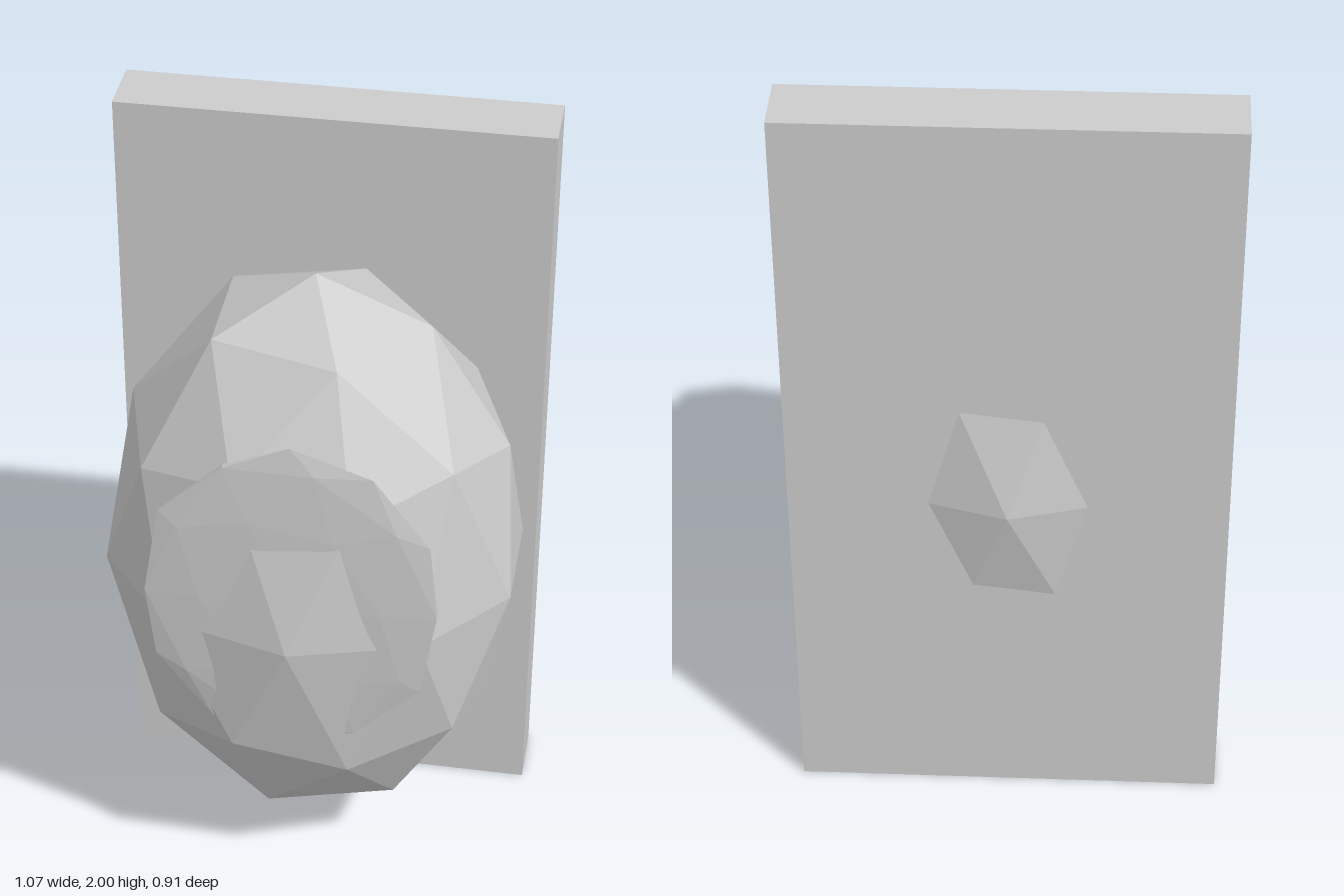
import * as THREE from 'three';

const grey = new THREE.MeshStandardMaterial({ color: 0xcccccc });
grey.name = 'grey';

// Faceted ellipsoid with a corner of the icosphere at its top
function facetedEllipsoid(name, radii, position) {
  const geometry = new THREE.IcosahedronGeometry(1, 1);
  geometry.rotateZ(-Math.atan(2 / (1 + Math.sqrt(5))));
  geometry.scale(...radii);
  geometry.computeVertexNormals(); // unshared corners give flat facets
  const mesh = new THREE.Mesh(geometry, grey);
  mesh.name = name;
  mesh.position.set(...position);
  return mesh;
}

export function createModel() {
  const group = new THREE.Group();

  // Upright slab the body is set into
  const slab = new THREE.Mesh(new THREE.BoxGeometry(1.066, 2, 0.16), grey);
  slab.name = 'backSlab';
  slab.position.set(0, 1, -0.32);
  group.add(slab);

  // Egg-shaped body poking slightly through the slab
  group.add(facetedEllipsoid('body', [0.533, 0.8, 0.453], [0, 0.924, 0]));

  // Thin oval plate sunk into the front of the body
  group.add(facetedEllipsoid('frontPlate', [0.373, 0.453, 0.0265], [0, 1.03, 0.375]));

  return group;
}
